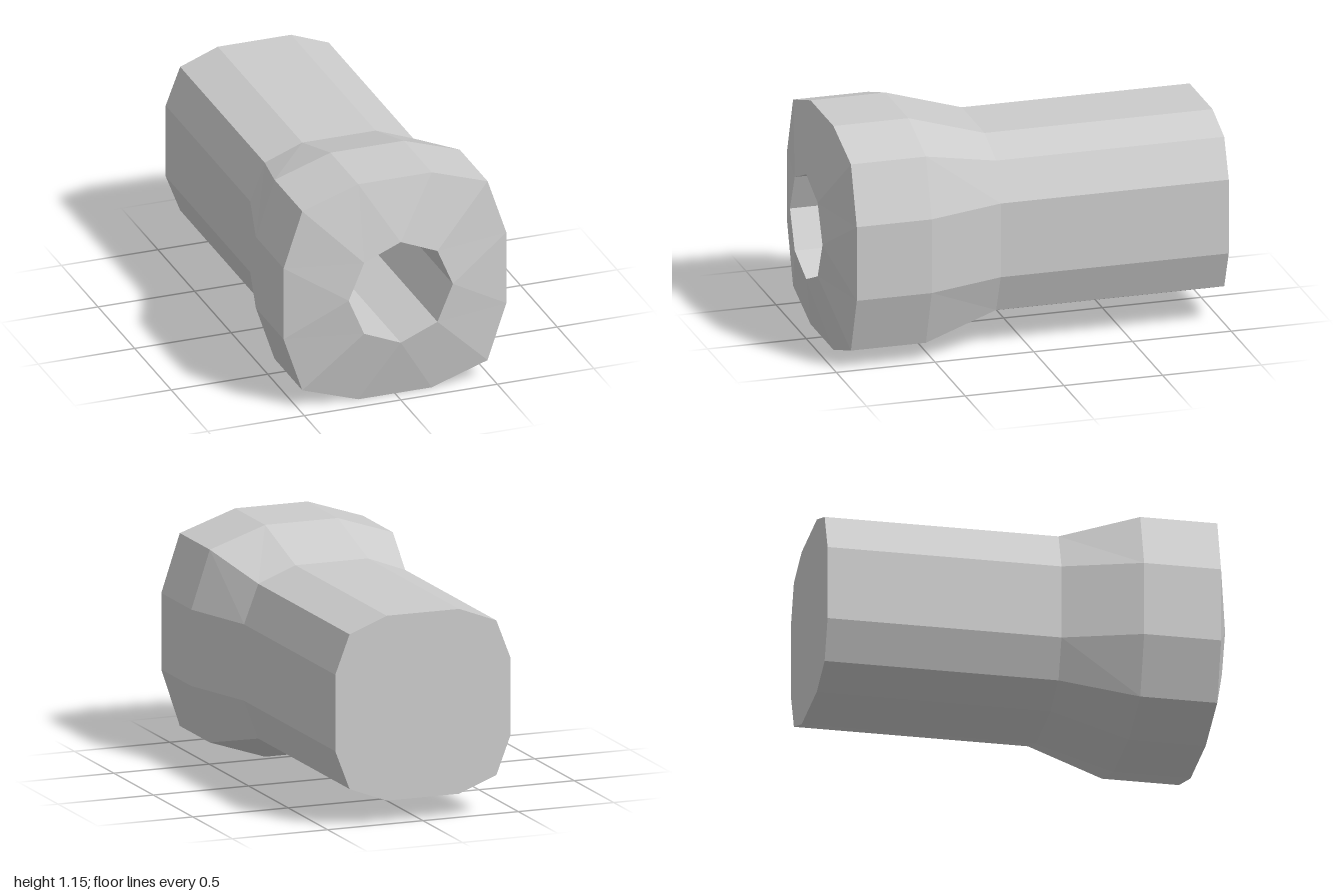
import * as THREE from 'three';

const CY = 0.577; // height of the long axis
const W = 0.19;   // half width of the flat sides

// Repeat a few points around the four quadrants, counter-clockwise seen from +z
function ring(points, z) {
  const out = [];
  for (let k = 0; k < 4; k++) {
    for (const [x, y] of points) {
      const v = new THREE.Vector3(x, y, z).applyAxisAngle(new THREE.Vector3(0, 0, 1), k * Math.PI / 2);
      v.y += CY;
      out.push(v);
    }
  }
  return out;
}

// Twelve-sided section: four flats of fixed width plus cut corners
const section = (half, corner, z) => ring([[half, -W], [half, W], [corner, corner]], z);
const octagon = (z) => ring([[0.27, 0], [W, W]], z);

// Outward wall between two rings; swapping the rings turns it inward
function wall(back, front) {
  const tris = [];
  back.forEach((b, i) => {
    const j = (i + 1) % back.length;
    tris.push(b, back[j], front[j], b, front[j], front[i]);
  });
  return tris;
}

// Flat polygon, facing along +z or -z
function cap(pts, forward) {
  const tris = [];
  for (let i = 1; i < pts.length - 1; i++) {
    tris.push(pts[0], ...(forward ? [pts[i], pts[i + 1]] : [pts[i + 1], pts[i]]));
  }
  return tris;
}

// Sloped front face joining the twelve-sided rim to the octagonal mouth
function lip(outer, inner) {
  const tris = [];
  for (let k = 0; k < 4; k++) {
    const [a, b, c] = outer.slice(k * 3, k * 3 + 3);
    const next = outer[(k * 3 + 3) % 12];
    const before = inner[(k * 2 + 7) % 8], mid = inner[k * 2], after = inner[k * 2 + 1];
    tris.push(a, b, mid, before, a, mid, b, after, mid, b, c, after, c, next, after);
  }
  return tris;
}

export function createModel() {
  const group = new THREE.Group();
  group.name = 'flaredBarrel';
  const material = new THREE.MeshStandardMaterial({ color: 0xcccccc, flatShading: true });

  const add = (name, tris) => {
    const geometry = new THREE.BufferGeometry().setFromPoints(tris);
    geometry.computeVertexNormals();
    const mesh = new THREE.Mesh(geometry, material);
    mesh.name = name;
    group.add(mesh);
  };

  const rear = section(0.46, 0.385, -1);
  const neck = section(0.46, 0.385, 0.155);
  const shoulder = section(0.577, 0.48, 0.54);
  const rim = section(0.577, 0.48, 0.92);
  const mouth = octagon(1);
  const floor = octagon(0.155);

  add('barrel', [...wall(rear, neck), ...cap(rear, false)]);
  add('flare', wall(neck, shoulder));
  add('head', wall(shoulder, rim));
  add('frontLip', lip(rim, mouth));
  add('bore', [...wall(mouth, floor), ...cap(floor, true)]);

  return group;
}
